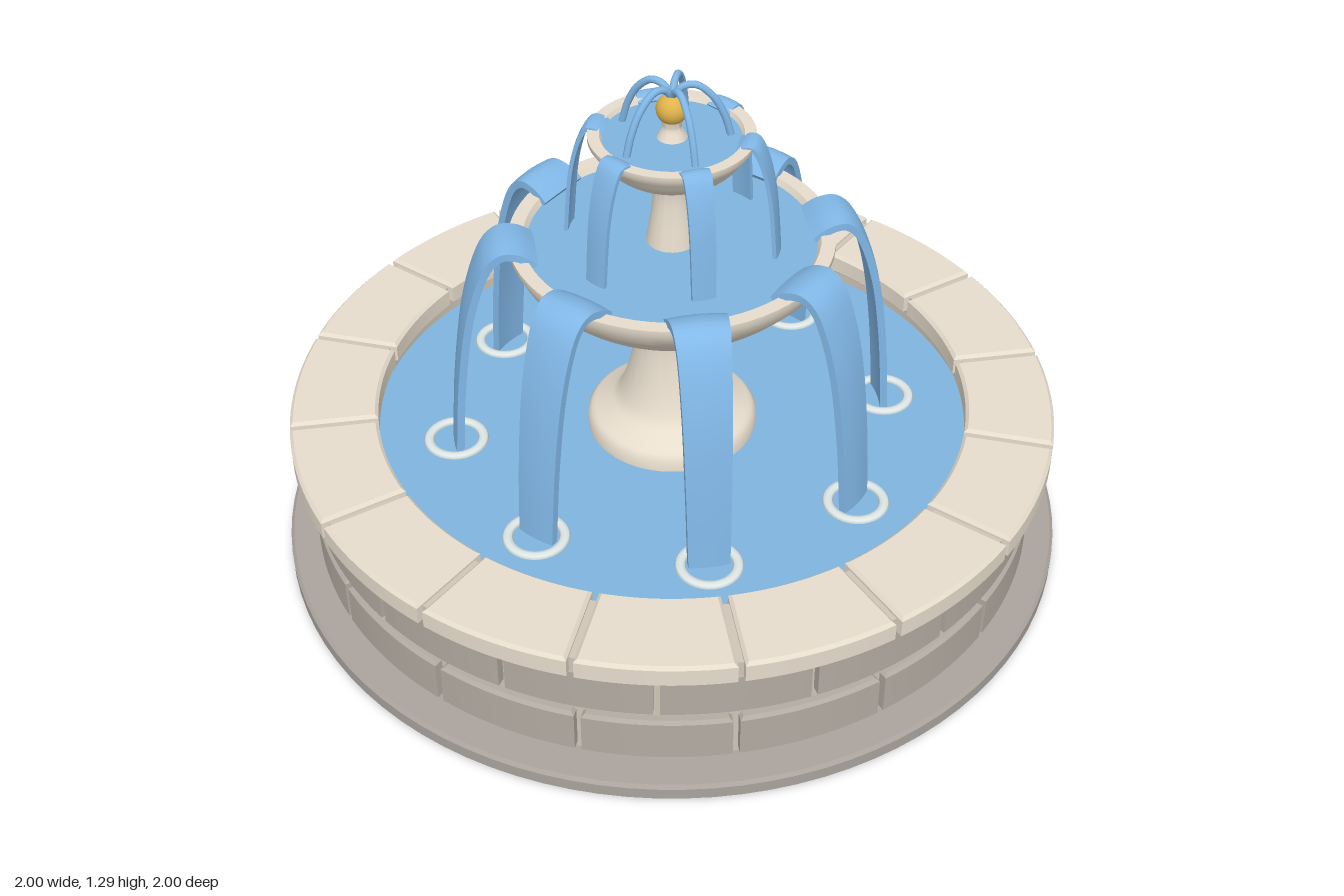
import * as THREE from 'three';
import { toCreasedNormals } from 'three/addons/utils/BufferGeometryUtils.js';

const mat = (name, color, side = THREE.FrontSide) => {
  const m = new THREE.MeshStandardMaterial({ color, side });
  m.name = name;
  return m;
};

export function createModel() {
  const stone = mat('pale stone', 0xe6dccc);
  const brick = mat('grey brick', 0xb3aba2);
  const plinthStone = mat('plinth grey', 0xaaa39d);
  const mortar = mat('mortar', 0xcfc5b7);
  const water = mat('pool water', 0x80b5de, THREE.DoubleSide);
  const stream = mat('falling water', 0x83baea);
  const foam = mat('foam', 0xdde7e5);
  const gold = mat('gold', 0xe0b34c);

  const model = new THREE.Group();
  model.name = 'fountain';

  const add = (name, geometry, material, parent = model) => {
    const mesh = new THREE.Mesh(geometry, material);
    mesh.name = name;
    parent.add(mesh);
    return mesh;
  };
  // profile of [radius, height] pairs, outside upwards
  const lathe = (profile, segments = 64) => toCreasedNormals(
    new THREE.LatheGeometry(profile.map(([r, y]) => new THREE.Vector2(r, y)), segments), 0.6);
  // smooth spline through profile points
  const smooth = (profile, n = 20) => new THREE.SplineCurve(
    profile.map(([r, y]) => new THREE.Vector2(r, y))).getPoints(n).map(p => [p.x, p.y]);
  const ring = (r0, r1, y0, y1, b = 0) => lathe([
    [r0, y0], [r1 - b, y0], [r1, y0 + b], [r1, y1 - b], [r1 - b, y1], [r0, y1], [r0, y0]], 96);
  const disc = (name, radius, y) => {
    const mesh = add(name, new THREE.CircleGeometry(radius, 64), water);
    mesh.rotation.x = -Math.PI / 2;
    mesh.position.y = y;
  };

  // curved, bevelled block of masonry
  const block = (r0, r1, y0, y1, sweep, gap) => {
    const b = 0.008;
    const outer = sweep / 2 - (gap / 2 + b) / r1;
    const inner = sweep / 2 - (gap / 2 + b) / r0;
    const shape = new THREE.Shape();
    shape.absarc(0, 0, r1 - b, -outer, outer, false);
    shape.absarc(0, 0, r0 + b, inner, -inner, true);
    const geo = new THREE.ExtrudeGeometry(shape, {
      depth: y1 - y0 - 2 * b, bevelEnabled: true, bevelSize: b, bevelThickness: b,
      bevelSegments: 1, curveSegments: 6 });
    geo.rotateX(-Math.PI / 2).translate(0, y0 + b, 0);
    return toCreasedNormals(geo, 0.5);
  };
  const course = (name, count, offset, geometry, material) => {
    const group = new THREE.Group();
    group.name = name + 'Course';
    for (let i = 0; i < count; i++) {
      add(name, geometry, material, group).rotation.y = (i + offset) * 2 * Math.PI / count;
    }
    model.add(group);
  };

  // basin: plinth, floor, mortar core and masonry courses
  add('plinth', ring(0.9, 1, 0, 0.046, 0.008), plinthStone);
  add('basinFloor', lathe([[0, 0], [0.815, 0], [0.815, 0.1], [0, 0.1]], 96), stone);
  add('wallCore', ring(0.765, 0.903, 0.03, 0.37), mortar);
  add('copingCore', ring(0.765, 0.945, 0.345, 0.38), mortar);
  const sweep = Math.PI / 8;
  course('lowerBrick', 16, 0.5, block(0.82, 0.926, 0.055, 0.176, sweep, 0.016), brick);
  course('upperBrick', 16, 0, block(0.82, 0.926, 0.196, 0.32, sweep, 0.016), brick);
  course('copingStone', 16, 0.5, block(0.745, 0.965, 0.333, 0.394, sweep, 0.016), stone);
  disc('poolWater', 0.77, 0.3);

  // lower pedestal and bowl
  add('lowerPedestal', lathe([[0.215, 0.29], [0.215, 0.33],
    ...smooth([[0.205, 0.345], [0.165, 0.37], [0.135, 0.4], [0.108, 0.48], [0.092, 0.58], [0.1, 0.66], [0.115, 0.7]])]), stone);
  add('lowerBowl', lathe([[0, 0.675],
    ...smooth([[0.12, 0.675], [0.22, 0.695], [0.31, 0.755], [0.375, 0.82]]),
    [0.395, 0.86], [0.395, 0.875], [0.36, 0.875], [0.335, 0.83], [0, 0.8]]), stone);
  disc('lowerBowlWater', 0.352, 0.86);

  // upper pedestal and bowl
  add('upperPedestal', lathe(smooth([[0.066, 0.84], [0.058, 0.89], [0.049, 0.95],
    [0.046, 1.0], [0.052, 1.04], [0.062, 1.07]]), 48), stone);
  add('upperBowl', lathe([[0, 1.045],
    ...smooth([[0.06, 1.045], [0.11, 1.057], [0.155, 1.088], [0.186, 1.128]]),
    [0.198, 1.146], [0.198, 1.158], [0.17, 1.158], [0.155, 1.13], [0, 1.12]]), stone);
  disc('upperBowlWater', 0.167, 1.147);

  // finial
  add('finialStem', lathe(smooth([[0.045, 1.13], [0.032, 1.155], [0.023, 1.178], [0.028, 1.2]], 10), 32), stone);
  add('finialBall', new THREE.SphereGeometry(0.038, 32, 20), gold).position.y = 1.222;

  // tapering sheet of water bent along a path of [radius, height] pairs
  const sheet = (path, w0, w1, thickness) => {
    const curve = new THREE.SplineCurve(path.map(([r, y]) => new THREE.Vector2(r, y)));
    const geo = new THREE.BoxGeometry(1, 1, 1, 28, 1, 4);
    const pos = geo.attributes.position;
    for (let i = 0; i < pos.count; i++) {
      const t = pos.getX(i) + 0.5;
      const across = pos.getZ(i);
      const p = curve.getPoint(t);
      const d = curve.getTangent(t);
      // slight crown across the width
      const lift = pos.getY(i) * thickness - across * across * thickness;
      pos.setXYZ(i, p.x - d.y * lift, p.y + d.x * lift, across * (w0 + (w1 - w0) * t));
    }
    return toCreasedNormals(geo, 0.6);
  };
  const around = (name, count, offset, geometry, material = stream) => {
    for (let i = 0; i < count; i++) {
      add(name, geometry, material).rotation.y = offset + i * 2 * Math.PI / count;
    }
  };

  // eight lower falls with foam rings where they land
  around('lowerFall', 8, Math.PI / 8, sheet([[0.335, 0.866], [0.375, 0.891], [0.422, 0.892],
    [0.465, 0.84], [0.508, 0.7], [0.537, 0.5], [0.553, 0.295]], 0.145, 0.1, 0.019));
  const foamRing = new THREE.TorusGeometry(0.069, 0.013, 8, 32);
  foamRing.rotateX(-Math.PI / 2).scale(1, 0.7, 1).translate(0.555, 0.302, 0);
  around('foamRing', 8, Math.PI / 8, foamRing, foam);

  // six upper falls
  around('upperFall', 6, 0, sheet([[0.16, 1.148], [0.183, 1.16], [0.207, 1.15],
    [0.231, 1.09], [0.248, 1.0], [0.26, 0.858]], 0.072, 0.058, 0.01));

  // five thin jets springing from the finial
  const jetPath = new THREE.CatmullRomCurve3([[0.004, 1.258], [0.025, 1.28], [0.055, 1.283],
    [0.095, 1.25], [0.122, 1.2], [0.138, 1.145]].map(([r, y]) => new THREE.Vector3(r, y, 0)));
  around('topJet', 5, Math.PI / 2, new THREE.TubeGeometry(jetPath, 24, 0.009, 8));

  return model;
}
